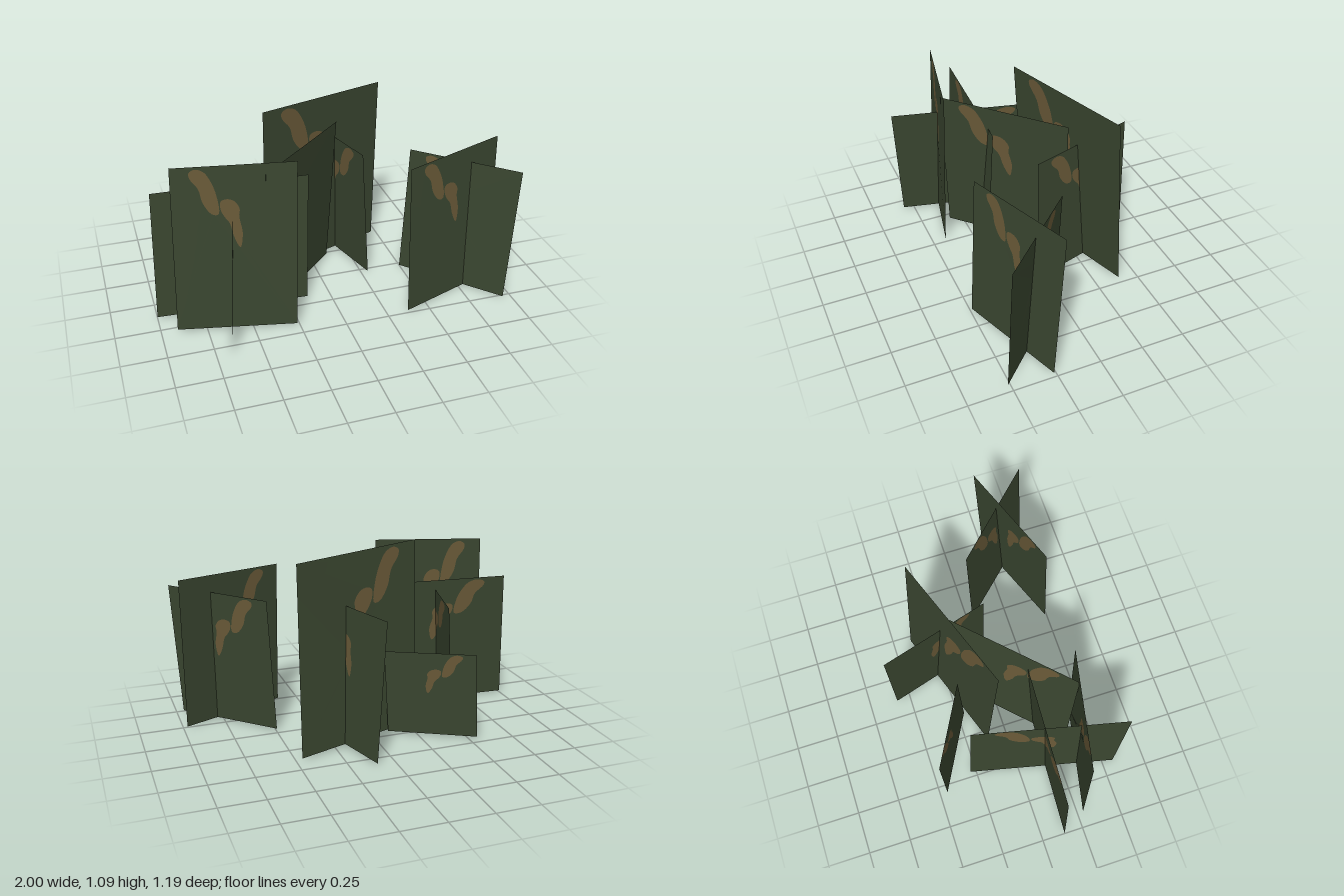
import * as THREE from 'three';

// Smooth closed outline from a few points in card space (u across, v up)
function outline(points) {
  const curve = new THREE.CatmullRomCurve3(
    points.map(([u, v]) => new THREE.Vector3(u, v, 0)), true);
  return curve.getPoints(40).slice(0, 40).map((p) => new THREE.Vector2(p.x, p.y));
}

// Two dry blades, identical on every card
const blades = [
  outline([[0.15, 0.965], [0.2, 0.985], [0.27, 0.965], [0.32, 0.91], [0.36, 0.83],
    [0.375, 0.72], [0.32, 0.72], [0.25, 0.79], [0.22, 0.87], [0.155, 0.935]]),
  outline([[0.39, 0.79], [0.44, 0.805], [0.5, 0.79], [0.54, 0.745], [0.535, 0.7],
    [0.56, 0.6], [0.54, 0.51], [0.49, 0.58], [0.46, 0.66], [0.42, 0.7], [0.39, 0.745]]),
];

// Each leaning card: start bottom, start top, end bottom, end top
const cards = [
  [[0.37, 0.01, 0.49], [0.365, 0.885, 0.445], [0.975, 0, 0.26], [0.982, 0.895, 0.215]],
  [[0.495, 0.01, 0.035], [0.535, 0.785, 0.025], [0.955, 0, 0.513], [1, 0.797, 0.5]],
  [[-0.305, 0.01, -0.12], [-0.31, 1.088, -0.06], [0.465, 0.01, -0.39], [0.46, 1.073, -0.333]],
  [[0.288, 0.01, 0.043], [0.243, 0.793, 0.034], [0.104, 0.01, -0.583], [0.06, 0.8, -0.594]],
  [[-0.548, 0.01, -0.455], [-0.515, 0.51, -0.47], [-0.1, 0.01, -0.21], [-0.067, 0.505, -0.225]],
  [[-0.45, 0.01, 0.33], [-0.403, 0.932, 0.36], [0.11, 0.01, -0.225], [0.154, 0.92, -0.186]],
  [[-0.47, 0.01, -0.285], [-0.44, 0.725, -0.258], [-0.668, 0.01, 0.565], [-0.638, 0.726, 0.595]],
  [[-1, 0.01, 0.136], [-0.975, 0.778, 0.105], [-0.136, 0.01, 0.187], [-0.115, 0.785, 0.152]],
  [[-0.91, 0.01, 0.285], [-0.88, 0.986, 0.255], [-0.265, 0.01, 0.422], [-0.24, 0.997, 0.387]],
];

// Lay a flat shape onto the four corners of a card
function fit(shapes, corners) {
  const geometry = new THREE.ShapeGeometry(shapes);
  const [a, b, c, d] = corners.map((p) => new THREE.Vector3(...p));
  const pos = geometry.attributes.position;
  for (let i = 0; i < pos.count; i++) {
    const u = pos.getX(i), v = pos.getY(i);
    const low = a.clone().lerp(c, u), high = b.clone().lerp(d, u);
    low.lerp(high, v);
    pos.setXYZ(i, low.x, low.y, low.z);
  }
  geometry.computeVertexNormals();
  return geometry;
}

export function createModel() {
  const green = new THREE.MeshStandardMaterial({ color: 0x3a4630, side: THREE.DoubleSide });
  green.name = 'dark grass green';
  const brown = new THREE.MeshStandardMaterial({ color: 0x6a5a38, side: THREE.DoubleSide });
  brown.name = 'dry grass brown';

  // Card with blade-shaped openings, filled by the blades themselves
  const sheet = new THREE.Shape([[0, 0], [1, 0], [1, 1], [0, 1]].map((p) => new THREE.Vector2(...p)));
  sheet.holes = blades.map((points) => new THREE.Path(points));
  const bladeShapes = blades.map((points) => new THREE.Shape(points));

  const model = new THREE.Group();
  model.name = 'grassClump';
  cards.forEach((corners, i) => {
    const card = new THREE.Group();
    card.name = `grassCard${i + 1}`;
    const leaf = new THREE.Mesh(fit(sheet, corners), green);
    leaf.name = 'grassSheet';
    const dry = new THREE.Mesh(fit(bladeShapes, corners), brown);
    dry.name = 'dryBlades';
    card.add(leaf, dry);
    model.add(card);
  });
  return model;
}
